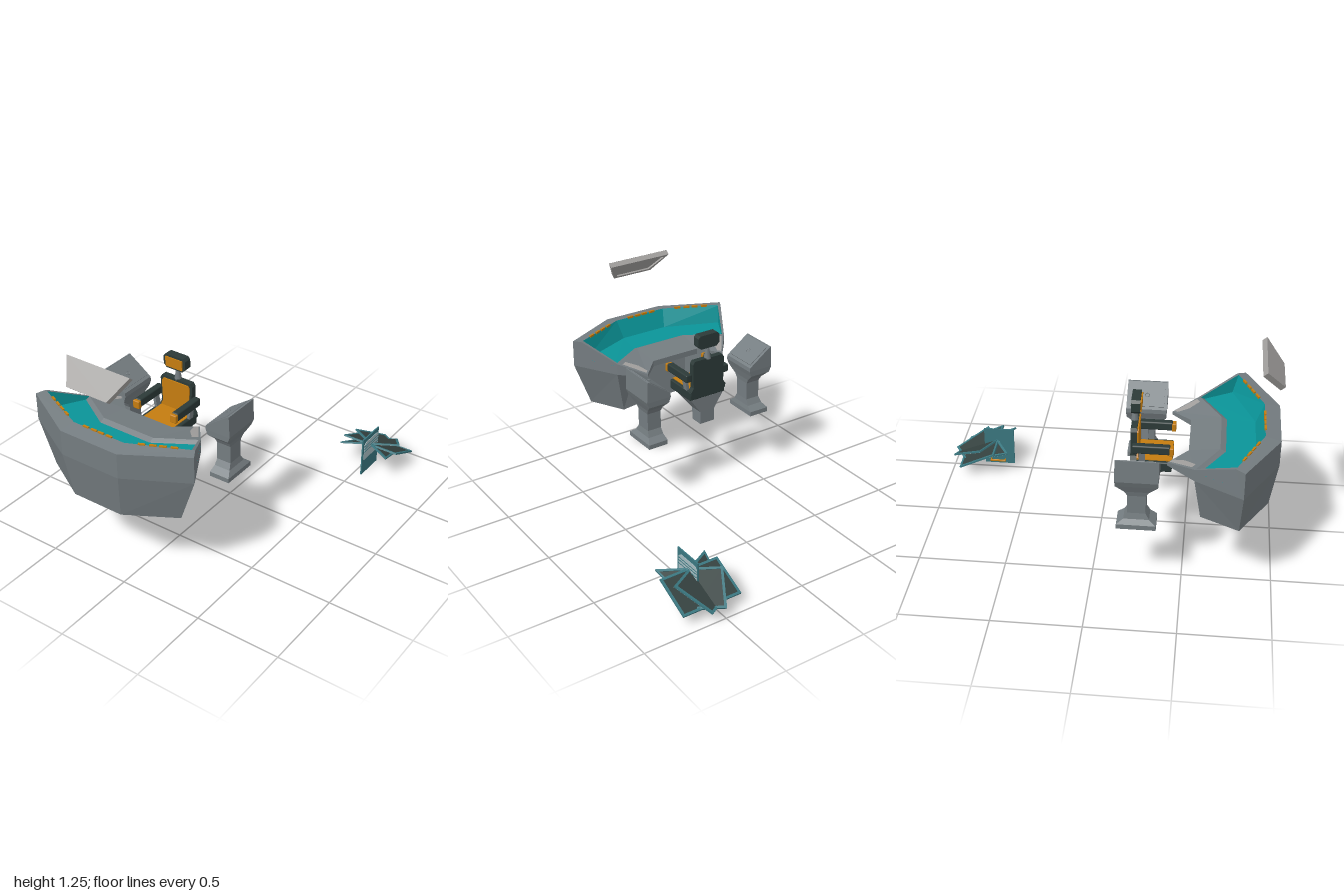
import * as THREE from 'three';
import { RoundedBoxGeometry } from 'three/addons/geometries/RoundedBoxGeometry.js';

const mat = (name, color) => new THREE.MeshStandardMaterial({ name, color, side: THREE.DoubleSide });
const M = {
  grey: mat('console grey', 0x747c80),
  light: mat('light grey', 0xa19f9d),
  teal: mat('bright teal', 0x0a9498),
  dark: mat('dark upholstery', 0x2c3a38),
  orange: mat('amber', 0xc47c10),
  frame: mat('dull teal', 0x3a7780),
  glass: mat('dark panel', 0x34413f),
  pale: mat('pale panel', 0xa5bcc0),
};

// Flat-shaded geometry from polygons, each a loop of [x, y, z]
function polys(list) {
  const p = [];
  for (const q of list)
    for (let i = 1; i < q.length - 1; i++) p.push(...q[0], ...q[i], ...q[i + 1]);
  const g = new THREE.BufferGeometry();
  g.setAttribute('position', new THREE.Float32BufferAttribute(p, 3));
  g.computeVertexNormals();
  return g;
}
function add(parent, name, geo, material, x = 0, y = 0, z = 0) {
  const m = new THREE.Mesh(geo, material);
  m.name = name;
  m.position.set(x, y, z);
  parent.add(m);
  return m;
}
const box = (w, h, d) => new THREE.BoxGeometry(w, h, d);
const lerp = (a, b, t) => a.map((v, i) => v + (b[i] - v) * t);
function group(parent, name, x = 0, y = 0, z = 0) {
  const g = new THREE.Group();
  g.name = name;
  g.position.set(x, y, z);
  parent.add(g);
  return g;
}
// Skin over rings of equal length, with both ends closed
function loft(rings) {
  const list = [rings[0], [...rings.at(-1)].reverse()];
  for (let i = 0; i < rings.length - 1; i++)
    rings[i].forEach((p, j) => {
      const k = (j + 1) % rings[i].length;
      list.push([p, rings[i + 1][j], rings[i + 1][k], rings[i][k]]);
    });
  return polys(list);
}
const ring = (y, x, z0, z1, c = 0) => [[c - x, y, z0], [c + x, y, z0], [c + x, y, z1], [c - x, y, z1]];
function outline(points, S = THREE.Shape) {
  const s = new S();
  points.forEach(([x, y], i) => s[i ? 'lineTo' : 'moveTo'](x, y));
  s.closePath();
  return s;
}
const extrude = (shape, depth) => new THREE.ExtrudeGeometry(shape, { depth, bevelEnabled: false });

// Four-sided panel hanging from its top edge: rim, recessed face, back plate
function panel(parent, name, half, b0, b1, h, depth, rim, mats, slope) {
  const g = group(parent, name);
  const corners = i => {
    const k0 = i * (1 + 0.7 * (b0 + half) / h), k1 = i * (1 + 0.7 * (half - b1) / h);
    return [[-half + k0, -i], [b0 + i, -h + i], [b1 - i, -h + i], [half - k1, -i]];
  };
  const shape = outline(corners(0));
  shape.holes.push(outline(corners(rim), THREE.Path));
  add(g, 'panelRim', extrude(shape, depth), mats[0]);
  add(g, 'panelFace', new THREE.ShapeGeometry(outline(corners(rim))), mats[1], 0, 0, depth * 0.7);
  add(g, 'panelBack', new THREE.ShapeGeometry(outline(corners(0))), mats[2], 0, 0, -0.0005);
  const c = Math.cos(slope), s = Math.sin(slope);
  g.quaternion.setFromRotationMatrix(new THREE.Matrix4().makeBasis(
    new THREE.Vector3(0, 0, -1), new THREE.Vector3(c, s, 0), new THREE.Vector3(s, -c, 0)));
  return g;
}

function buildConsole(root) {
  const g = group(root, 'console', 0, 0, -0.19);
  // Cross-sections at the bend and at the wing tip
  const bend = [[-.96, .42, .16], [-1, .69, .19], [-1, .84, .19], [-.915, .857, .17], [-.87, .75, .15], [-.71, .745, .17],
    [-.68, .76, .17], [-.51, .735, .16], [-.51, .7, .16], [-.66, .7, .17], [-.62, .42, .14]];
  const tip = [[-.8, .42, .44], [-.81, .69, .54], [-.81, .85, .54], [-.76, .858, .511], [-.73, .75, .494], [-.57, .745, .402],
    [-.55, .76, .39], [-.4, .72, .27], [-.4, .7, .27], [-.55, .69, .39], [-.59, .42, .33]];
  const flip = r => r.map(([x, y, z]) => [x, y, -z]);
  const st = [flip(tip), flip(bend), bend, tip];
  const shell = [], well = [];
  for (let i = 0; i < 3; i++)
    for (let j = 0; j < 11; j++) {
      const k = (j + 1) % 11;
      (j === 3 || j === 4 ? well : shell).push([st[i][j], st[i + 1][j], st[i + 1][k], st[i][k]]);
    }
  const ends = [[st[0], st[1]], [st[3], st[2]]];
  // Wing ends with an inner lining, desk ends
  for (const [t, b] of ends) {
    shell.push(...[[1, 2, 3, 6, 9], [0, 1, 9, 10], [6, 7, 8, 9]].map(f => f.map(i => t[i])));
    const inner = [3, 4, 5, 6].map(i => lerp(t[i], b[i], 0.05));
    well.push(inner);
    shell.push([t[3], inner[0], inner[3], t[6]]);
  }
  add(g, 'consoleShell', polys(shell), M.grey);
  add(g, 'consoleWell', polys(well), M.teal);

  // Rim lights, four on each of the three sides
  for (let i = 0; i < 3; i++) {
    const a = st[i][3], b = st[i + 1][3];
    for (const t of [0.25, 0.41, 0.55, 0.71]) {
      const p = lerp(a, b, i === 0 ? 1 - t : t);
      const lamp = add(g, 'rimLight', box(0.012, 0.012, 0.038), M.orange, p[0], p[1], p[2]);
      lamp.rotation.y = Math.atan2(b[0] - a[0], b[2] - a[2]);
    }
  }
  // Pale pads on the desk tips
  for (const [t, b] of ends) {
    const at = (u, v) => {
      const p = lerp(lerp(t[6], t[7], u), lerp(b[6], b[7], u), v);
      return [p[0], p[1] + 0.004, p[2]];
    };
    add(g, 'deskPad', polys([[at(.15, .05), at(.95, .04), at(.95, .2), at(.6, .28), at(.15, .2)]]), M.light);
  }
}

function buildPedestal(root, side) {
  const g = group(root, 'controlPedestal', -0.248, 0, -0.19);
  // Outer edge lies away from the chair; the sloped face looks towards it
  const r = (y, x, a, b) => ring(y, x, side * a, side * b);
  const top = [[-.117, .715, side * .285], [.117, .715, side * .285], [.117, .82, side * .432], [-.117, .82, side * .432]];
  add(g, 'pedestalBody', loft([r(.38, .108, .303, .43), r(.408, .108, .303, .43), r(.435, .07, .309, .41),
    r(.47, .05, .312, .402), r(.58, .05, .312, .402), r(.61, .066, .308, .41), r(.655, .115, .295, .43),
    r(.69, .117, .283, .444), top]), M.grey);
  // Lip at the outer edge
  add(g, 'pedestalLip', loft([r(.69, .117, .432, .444), r(.82, .117, .43, .438)]), M.grey);
  // Sloped control plate and dial
  const plate = group(g, 'controlPlate', 0, 0.7675, side * 0.3585);
  plate.rotation.x = -side * Math.atan2(0.105, 0.147);
  add(plate, 'plate', box(0.2, 0.006, 0.145), M.grey, 0, 0.001, 0);
  const dial = add(plate, 'dial', new THREE.TorusGeometry(0.012, 0.002, 6, 16), M.grey, 0, 0.005, 0);
  dial.rotation.x = Math.PI / 2;
}

function buildChair(root) {
  const g = group(root, 'chair', 0, 0, -0.213);
  add(g, 'chairBase', loft([ring(.4, .043, -.05, .05, -.247), ring(.48, .043, -.05, .05, -.247),
    ring(.575, .085, -.115, .115, -.29)]), M.grey);
  add(g, 'seat', new RoundedBoxGeometry(0.22, 0.06, 0.25, 1, 0.008), M.dark, -0.31, 0.605, 0);
  add(g, 'seatCushion', box(0.19, 0.008, 0.21), M.orange, -0.325, 0.635, 0);
  // Backrest, wider at the hips
  const back = [[-.122, .61], [.122, .61], [.122, .635], [.106, .66], [.11, .812], [.098, .832],
    [-.098, .832], [-.11, .812], [-.106, .66], [-.122, .635]];
  const cushion = back.map(([x, y]) => [x * 0.87, 0.72 + (y - 0.72) * 0.87]);
  // Neck and headrest
  add(g, 'neck', new THREE.CylinderGeometry(0.009, 0.022, 0.08, 8), M.grey, -0.205, 0.865, 0);
  const head = [[-.055, .9], [.055, .9], [.074, .92], [.074, .97], [.06, .985], [-.06, .985], [-.074, .97], [-.074, .92]];
  for (const [name, pts, depth, m, x] of [['backrest', back, 0.035, M.dark, -0.225],
    ['backCushion', cushion, 0.009, M.orange, -0.233], ['headrest', head, 0.05, M.dark, -0.237]])
    add(g, name, extrude(outline(pts), depth), m, x).rotation.y = Math.PI / 2;
  add(g, 'headCushion', box(0.008, 0.06, 0.115), M.orange, -0.24, 0.942, 0);
  // Armrests
  for (const s of [-1, 1]) {
    const arm = group(g, 'armrest', 0, 0, s * 0.13);
    add(arm, 'armPad', new RoundedBoxGeometry(0.21, 0.05, 0.042, 1, 0.008), M.dark, -0.305, 0.725, 0);
    add(arm, 'armGrip', new RoundedBoxGeometry(0.025, 0.05, 0.044, 1, 0.006), M.orange, -0.417, 0.72, 0);
    const strut = add(arm, 'armStrut', box(0.035, 0.12, 0.018), M.grey, -0.255, 0.655, -s * 0.012);
    strut.rotation.x = s * 0.15;
  }
}

function buildDisplays(root) {
  const g = group(root, 'foldedDisplays', 0.715, 0.163, 0.543);
  const mats = [M.frame, M.glass, M.light];
  const slope = Math.PI - 0.435;
  // One rectangular display, two swung aside with their inner corners cut away
  panel(g, 'straightDisplay', 0.182, -0.182, 0.182, 0.245, 0.01, 0.014, mats, slope);
  for (const s of [-1, 1]) {
    const swing = group(g, 'swungDisplay', 0.005, 0.002, 0);
    swing.rotation.y = s * 0.52;
    panel(swing, 'cutDisplay', 0.18, s > 0 ? -0.18 : 0, s > 0 ? 0 : 0.18, 0.245, 0.01, 0.014, mats, slope);
  }
  // Upright plate with pale inserts and a handle behind
  const p = group(root, 'uprightPlate', 0.715, 0.125, 0.545);
  add(p, 'plate', box(0.19, 0.25, 0.008), M.frame);
  const insert = [[-.08, -.025], [.09, -.025], [.09, .08], [.075, .097], [-.06, .097], [-.08, .08]];
  add(p, 'paleInsert', extrude(outline(insert), 0.003), M.pale, 0, 0, 0.004);
  for (const y of [0.035, 0.055, 0.072])
    add(p, 'insertBar', box(0.17, 0.004, 0.004), M.frame, 0.004, y, 0.007);
  add(p, 'handle', new RoundedBoxGeometry(0.1, 0.012, 0.01, 1, 0.003), M.orange, 0.01, -0.096, -0.025);
  for (const x of [-0.035, 0.055]) add(p, 'handlePost', box(0.008, 0.008, 0.022), M.orange, x, -0.096, -0.013);
}

export function createModel() {
  const root = new THREE.Group();
  root.name = 'controlRoom';
  buildConsole(root);
  for (const s of [-1, 1]) buildPedestal(root, s);
  buildChair(root);
  // Overhead screen, leaning over the console
  const screen = panel(root, 'overheadScreen', 0.207, -0.132, 0.132, 0.155, 0.032, 0.018, [M.light, M.light, M.light], 0.87);
  screen.position.set(-0.9, 1.25, -0.178);
  buildDisplays(root);
  return root;
}
